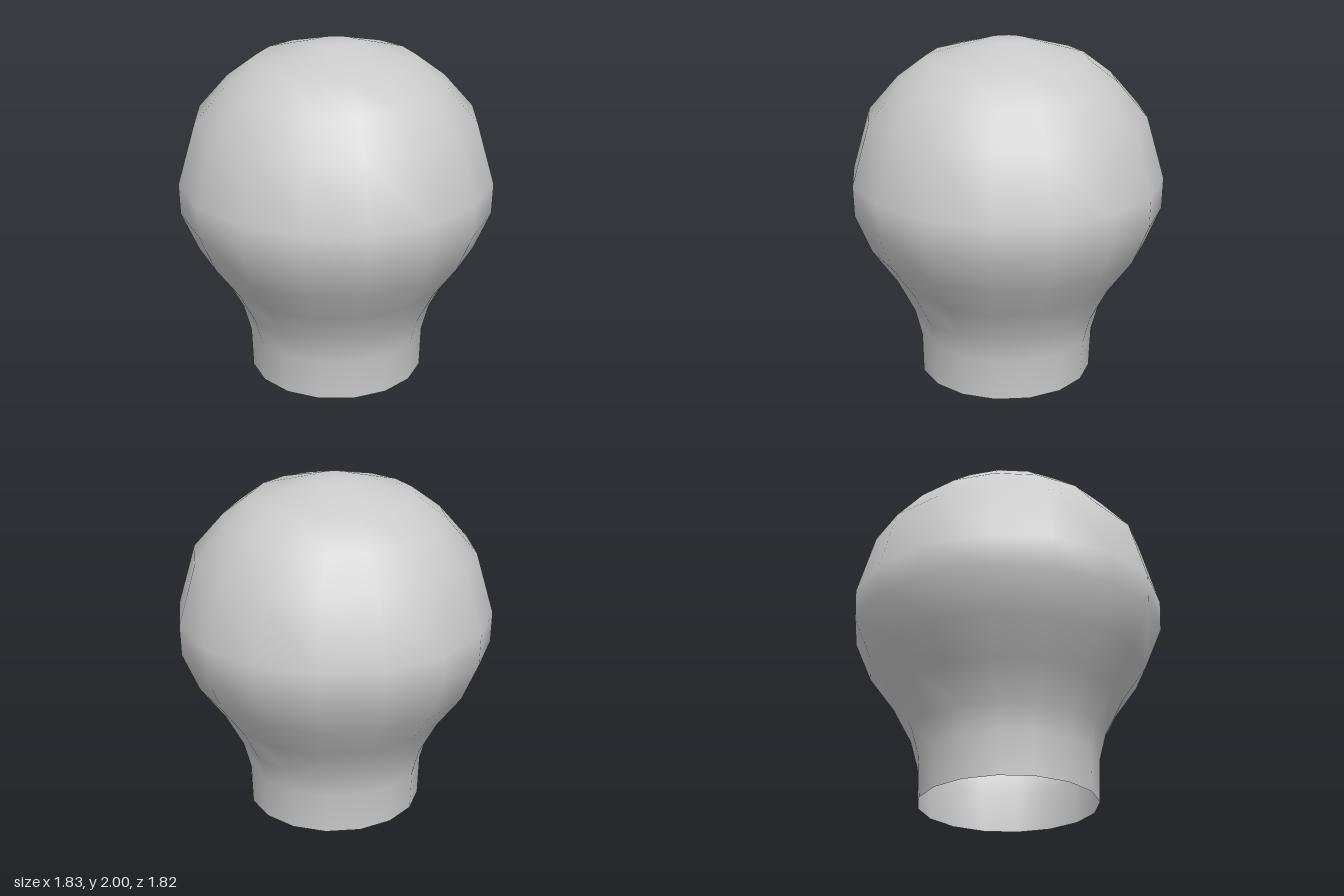
import * as THREE from 'three';

export function createModel() {
  const group = new THREE.Group();

  // Radius and height, from the open neck rim up to the crown
  const profile = [
    [0.515, 0], [0.523, 0.24], [0.565, 0.4], [0.67, 0.6], [0.815, 0.8],
    [0.912, 1.03], [0.917, 1.21], [0.812, 1.57], [0.637, 1.77],
    [0.465, 1.9], [0.13, 1.997], [0, 2],
  ].map(([r, y]) => new THREE.Vector2(r, y));

  const geometry = new THREE.LatheGeometry(profile, 16);
  geometry.scale(1, 1, 0.99);

  // The neck sits slightly forward of the bulb
  const pos = geometry.attributes.position;
  for (let i = 0; i < pos.count; i++) {
    const lean = 0.01 * Math.max(0, 1 - pos.getY(i) / 0.8);
    pos.setZ(i, pos.getZ(i) + lean);
  }

  // Hollow bulb, open at the bottom
  const bulb = new THREE.Mesh(geometry, new THREE.MeshStandardMaterial({
    color: 0xcccccc, side: THREE.DoubleSide,
  }));
  bulb.name = 'bulb';
  group.add(bulb);
  return group;
}
